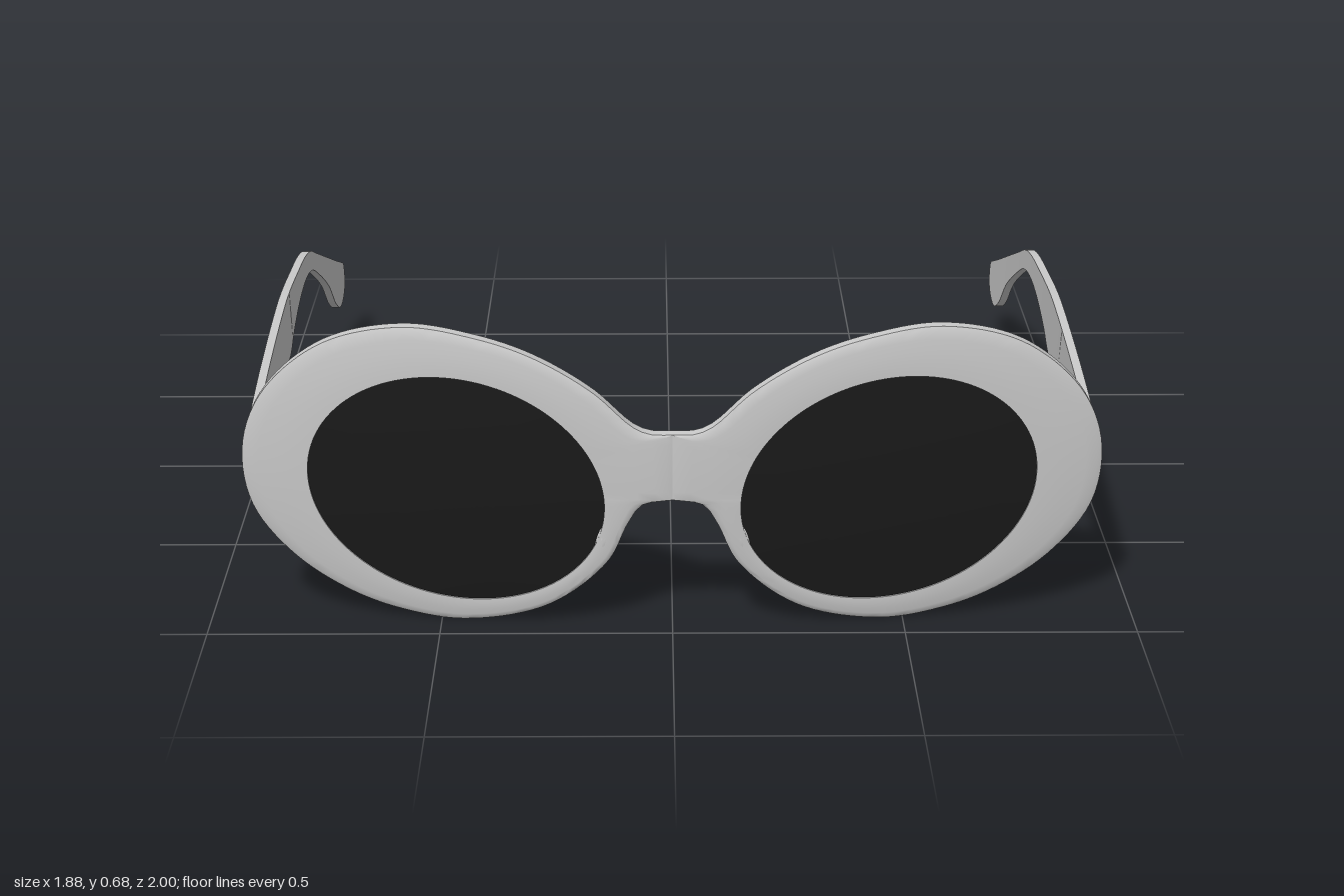
import * as THREE from 'three';
import { toCreasedNormals } from 'three/addons/utils/BufferGeometryUtils.js';

const CENTRE = new THREE.Vector2(0.4625, 0.315); // middle of a lens

// Curved, slightly tilted sheet that the front follows
const sheetZ = (x, y) => 0.976 - 0.12 * x * x + 0.07 * (y - 0.34) - 0.2 * (y - 0.34) ** 2;

// Skin over rows of points; side = -1 mirrors it to the other half
function skin(rows, side, closeRows, closeLoop) {
  const n = rows.length, m = rows[0].length;
  const pos = rows.flat().flatMap((p) => [p.x * side, p.y, p.z]);
  const index = [];
  for (let i = 0; i < (closeRows ? n : n - 1); i++) {
    for (let j = 0; j < (closeLoop ? m : m - 1); j++) {
      const i2 = (i + 1) % n, j2 = (j + 1) % m;
      const q = [i * m + j, i2 * m + j, i2 * m + j2, i * m + j2];
      if (q.every((k) => Math.abs(pos[k * 3]) < 1e-5)) continue; // inside the bridge
      const [a, b, c, d] = side > 0 ? q : q.reverse();
      index.push(a, b, c, a, c, d);
    }
  }
  const geo = new THREE.BufferGeometry();
  geo.setAttribute('position', new THREE.Float32BufferAttribute(pos, 3));
  geo.setIndex(index);
  return toCreasedNormals(geo, 0.6);
}

// Outline of the left half of the front, clockwise from the top of the bridge
function halfOutline() {
  const pts = [
    [0, 0.455], [0.05, 0.457], [0.085, 0.473], [0.17, 0.55], [0.295, 0.623], [0.42, 0.663],
    [0.57, 0.681], [0.74, 0.638], [0.87, 0.525], [0.92, 0.4], [0.905, 0.26], [0.82, 0.145],
    [0.695, 0.06], [0.575, 0.018], [0.445, 0.003], [0.27, 0.045], [0.14, 0.155], [0.095, 0.25],
    [0.065, 0.293], [0, 0.305],
  ].map(([x, y]) => new THREE.Vector3(x, y, 0));
  const out = new THREE.CatmullRomCurve3(pts).getSpacedPoints(110);
  for (let k = 1; k < 8; k++) out.push(new THREE.Vector3(0, 0.305 + (0.15 * k) / 8, 0));
  return out.map((p) => new THREE.Vector2(p.x, p.y));
}

// Point of the oval lens edge in the direction of an outline point
function lensEdge(p) {
  const a = Math.atan2(p.y - CENTRE.y, p.x - CENTRE.x);
  const c = Math.cos(a), s = Math.sin(a);
  const r = 1 / Math.sqrt(10.04 * c * c - 2.674 * c * s + 14.97 * s * s);
  return new THREE.Vector2(CENTRE.x + r * c, CENTRE.y + r * s);
}

const onSheet = (p, offset) => new THREE.Vector3(p.x, p.y, sheetZ(p.x, p.y) + offset);

function rimGeometry(outline, side) {
  const steps = [0, 0.25, 0.5, 0.75, 0.92, 1];
  const thick = [0.016, 0.018, 0.018, 0.018, 0.017, 0.014];
  const rows = outline.map((p) => {
    const e = lensEdge(p);
    const front = steps.map((t, k) => onSheet(e.clone().lerp(p, t), thick[k]));
    const back = steps.map((t, k) => onSheet(e.clone().lerp(p, t), -thick[k])).reverse();
    return [...front, ...back];
  });
  return skin(rows, side, true, true);
}

function lensGeometry(outline, side) {
  const rows = outline.map((p) => {
    const e = lensEdge(p);
    return [0, 0.2, 0.4, 0.6, 0.8, 1].map((t) => onSheet(CENTRE.clone().lerp(e, t), 0.012));
  });
  return skin(rows, side, true, false);
}

// Temple arm: box section whose bottom and top heights vary along z
function templeGeometry(side) {
  const profile = [
    // z, bottom, top
    [0.87, 0.31, 0.431], [0.4, 0.308, 0.432], [0.12, 0.306, 0.436], [0.03, 0.305, 0.437],
    [-0.08, 0.33, 0.434], [-0.25, 0.355, 0.424], [-0.4, 0.361, 0.415], [-0.5, 0.347, 0.398],
    [-0.6, 0.305, 0.361], [-0.75, 0.222, 0.304], [-0.83, 0.149, 0.273], [-0.9, 0.116, 0.246],
    [-0.96, 0.127, 0.224], [-0.99, 0.15, 0.212], [-1, 0.175, 0.2],
  ].map((v) => new THREE.Vector3(...v));
  const rows = new THREE.CatmullRomCurve3(profile).getPoints(84).map(({ x: z, y: bottom, z: top }) => {
    const mid = 0.927 - (z > -0.25 ? 0.024 : 0.045) * (z + 0.25) ** 2;
    const at = (y, dx) => new THREE.Vector3(mid + dx + 0.05 * (y - 0.37), y, z);
    return [at(bottom, 0.01), at(top, 0.01), at(top, -0.01), at(bottom, -0.01)];
  });
  // Close both ends
  const cap = (row) => {
    const c = row.reduce((s, p) => s.add(p), new THREE.Vector3()).divideScalar(4);
    return row.map(() => c.clone());
  };
  return skin([cap(rows[0]), ...rows, cap(rows[rows.length - 1])], side, false, true);
}

export function createModel() {
  const frameMat = new THREE.MeshStandardMaterial({ color: 0xcccccc });
  frameMat.name = 'pale grey frame';
  const lensMat = new THREE.MeshStandardMaterial({ color: 0x1a1a1a, side: THREE.DoubleSide });
  lensMat.name = 'dark lens';

  const model = new THREE.Group();
  model.name = 'sunglasses';
  const add = (name, geo, mat) => {
    const mesh = new THREE.Mesh(geo, mat);
    mesh.name = name;
    model.add(mesh);
    return mesh;
  };

  const outline = halfOutline();
  for (const [label, side] of [['left', 1], ['right', -1]]) {
    add(label + 'Rim', rimGeometry(outline, side), frameMat);
    add(label + 'Lens', lensGeometry(outline, side), lensMat);
    add(label + 'Temple', templeGeometry(side), frameMat);

    // Nose pad swelling out of the back of the rim
    const pad = add(label + 'NosePad', new THREE.SphereGeometry(1, 24, 16), frameMat);
    pad.scale.set(0.03, 0.075, 0.03);
    pad.position.set(side * 0.14, 0.225, 0.95);
    pad.rotation.z = side * 0.3;

    // Hinge block between rim and temple
    const hinge = add(label + 'Hinge', new THREE.BoxGeometry(0.024, 0.1, 0.035), frameMat);
    hinge.position.set(side * 0.886, 0.37, 0.868);
  }
  return model;
}
